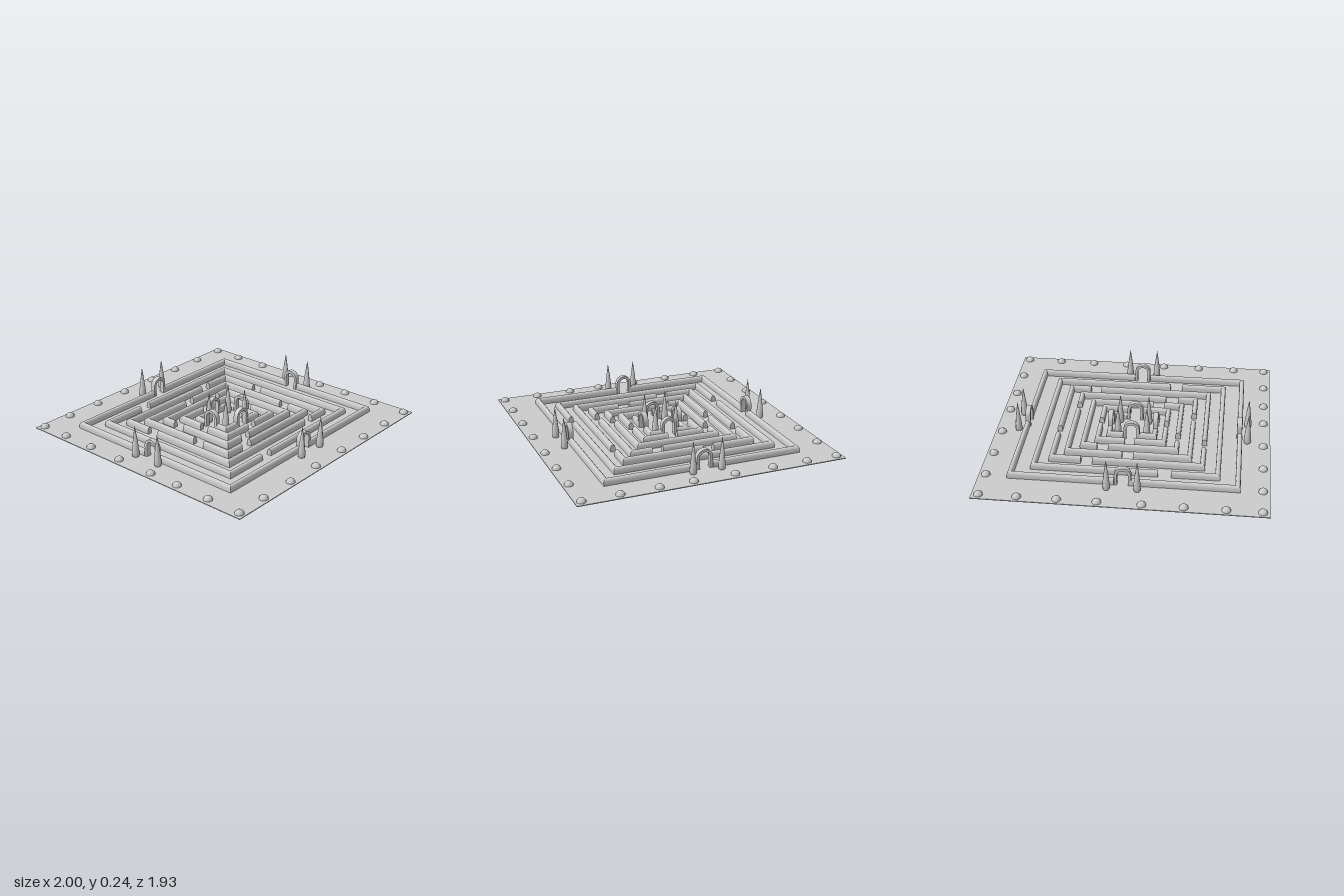
import * as THREE from 'three';

const mat = new THREE.MeshStandardMaterial({ color: 0xcccccc, side: THREE.DoubleSide });

// Rounded hedge cross-section: [sideways offset, height fraction]
const SECTION = [[-0.016, 0], [-0.018, 0.2], [-0.018, 0.62], [-0.014, 0.85], [-0.007, 0.97],
  [0.007, 0.97], [0.014, 0.85], [0.018, 0.62], [0.018, 0.2], [0.016, 0]];

// Sweeps the hedge section along an axis-aligned path with mitred corners
function hedgeGeometry(path, height) {
  const pos = [], index = [];
  const n = SECTION.length;
  const normals = path.slice(1).map((p, i) => {
    const d = p.clone().sub(path[i]).normalize();
    return new THREE.Vector2(-d.y, d.x);
  });
  const addSection = (i) => {
    const side = new THREE.Vector2();
    if (i > 0) side.add(normals[i - 1]);
    if (i < normals.length) side.add(normals[i]);
    const first = pos.length / 3;
    for (const [u, v] of SECTION) {
      pos.push(path[i].x + side.x * u, v * height, path[i].y + side.y * u);
    }
    return first;
  };
  for (let i = 0; i < normals.length; i++) {
    const a = addSection(i), b = addSection(i + 1);
    for (let j = 0; j < n - 1; j++) {
      index.push(a + j, a + j + 1, b + j + 1, a + j, b + j + 1, b + j);
    }
  }
  const start = addSection(0), end = addSection(path.length - 1);
  for (let j = 1; j < n - 1; j++) {
    index.push(start, start + j + 1, start + j, end, end + j, end + j + 1);
  }
  const geo = new THREE.BufferGeometry();
  geo.setAttribute('position', new THREE.Float32BufferAttribute(pos, 3));
  geo.setIndex(index);
  geo.computeVertexNormals();
  return geo;
}

// Rectangular hedge ring; gaps are [from, to] on each side, the back always has one
function hedgeRing(name, x, z, height, { back, right, front, left }) {
  const P = (px, pz) => new THREE.Vector2(px, pz);
  const runs = [[]];
  const add = (p) => runs[runs.length - 1].push(p);
  const gap = (p, q) => { add(p); runs.push([q]); };
  add(P(-x, -z));
  gap(P(back[0], -z), P(back[1], -z));
  add(P(x, -z));
  if (right) gap(P(x, right[0]), P(x, right[1]));
  add(P(x, z));
  if (front) gap(P(front[1], z), P(front[0], z));
  add(P(-x, z));
  if (left) gap(P(-x, left[1]), P(-x, left[0]));
  const last = runs.pop();
  if (runs.length) runs[0] = last.concat(runs[0]);
  const group = new THREE.Group();
  group.name = name;
  for (const run of runs) {
    const mesh = new THREE.Mesh(hedgeGeometry(run, height), mat);
    mesh.name = 'hedge';
    group.add(mesh);
  }
  return group;
}

// Round-topped garden arch
function archGeometry() {
  const outer = 0.058, inner = 0.038, spring = 0.087, depth = 0.036;
  const s = new THREE.Shape();
  s.moveTo(outer, 0);
  s.lineTo(outer, spring);
  s.absarc(0, spring, outer, 0, Math.PI, false);
  s.lineTo(-outer, 0);
  s.lineTo(-inner, 0);
  s.lineTo(-inner, spring);
  s.absarc(0, spring, inner, Math.PI, 0, true);
  s.lineTo(inner, 0);
  s.closePath();
  return new THREE.ExtrudeGeometry(s, { depth, bevelEnabled: false, curveSegments: 12 })
    .translate(0, 0, -depth / 2);
}

export function createModel() {
  const model = new THREE.Group();
  model.name = 'hedgeMaze';
  const add = (name, geo, x, y, z, turn = 0) => {
    const mesh = new THREE.Mesh(geo, mat);
    mesh.name = name;
    mesh.position.set(x, y, z);
    mesh.rotation.y = turn;
    model.add(mesh);
  };

  // Lawn
  add('ground', new THREE.BoxGeometry(2, 0.006, 1.93), 0, 0.003, 0);

  // Concentric hedges, outside to inside
  const gate = [-0.06, 0.06];
  const gates = { back: gate, right: gate, front: gate, left: gate };
  const small = [-0.03, 0.04];
  model.add(
    hedgeRing('outerHedge', 0.78, 0.7, 0.053, gates),
    hedgeRing('secondHedge', 0.64, 0.58, 0.053, { back: [-0.32, -0.23], front: [-0.32, -0.23] }),
    hedgeRing('thirdHedge', 0.53, 0.475, 0.058,
      { back: [0.24, 0.32], right: [-0.18, -0.1], front: [0.3, 0.38], left: [-0.27, -0.18] }),
    hedgeRing('fourthHedge', 0.435, 0.385, 0.058,
      { back: [-0.04, 0.04], right: [0.16, 0.24], front: [-0.3, -0.21], left: [0.08, 0.17] }),
    hedgeRing('fifthHedge', 0.335, 0.295, 0.058,
      { back: [0.15, 0.23], front: [-0.2, -0.12], left: [-0.2, -0.11] }),
    hedgeRing('sixthHedge', 0.24, 0.215, 0.058, { back: small, right: small, front: small, left: small }),
    hedgeRing('centreHedge', 0.165, 0.133, 0.055, gates),
  );

  // Arches over the four outer gates and the four centre gates
  const arch = archGeometry();
  for (const [x, z] of [[0.775, 0.7], [0.165, 0.133]]) {
    for (const s of [-1, 1]) {
      add('arch', arch, 0, 0, s * z);
      add('arch', arch, s * x, 0, 0, Math.PI / 2);
    }
  }

  // Cypress trees beside the gates and in the centre court
  const cypress = new THREE.LatheGeometry(
    [[0, 0], [0.022, 0], [0.026, 0.025], [0.024, 0.06], [0.017, 0.12], [0.009, 0.18], [0, 0.24]]
      .map(([r, y]) => new THREE.Vector2(r, y)), 8);
  for (const sx of [-1, 1]) {
    for (const sz of [-1, 1]) {
      add('cypress', cypress, sx * 0.105, 0, sz * 0.765);
      add('cypress', cypress, sx * 0.835, 0, sz * 0.105);
      add('cypress', cypress, sx * 0.105, 0, sz * 0.08);
    }
  }

  // Round bushes along the border
  const bush = new THREE.SphereGeometry(0.032, 14, 6, 0, Math.PI * 2, 0, Math.PI / 2);
  for (const x of [-0.95, -0.71, -0.43, -0.15, 0.15, 0.42, 0.69, 0.95]) {
    for (const z of [-0.92, 0.92]) add('bush', bush, x, 0.003, z);
  }
  for (const z of [-0.69, -0.43, -0.15, 0.15, 0.39, 0.66]) {
    for (const x of [-0.95, 0.95]) add('bush', bush, x, 0.003, z);
  }
  return model;
}
